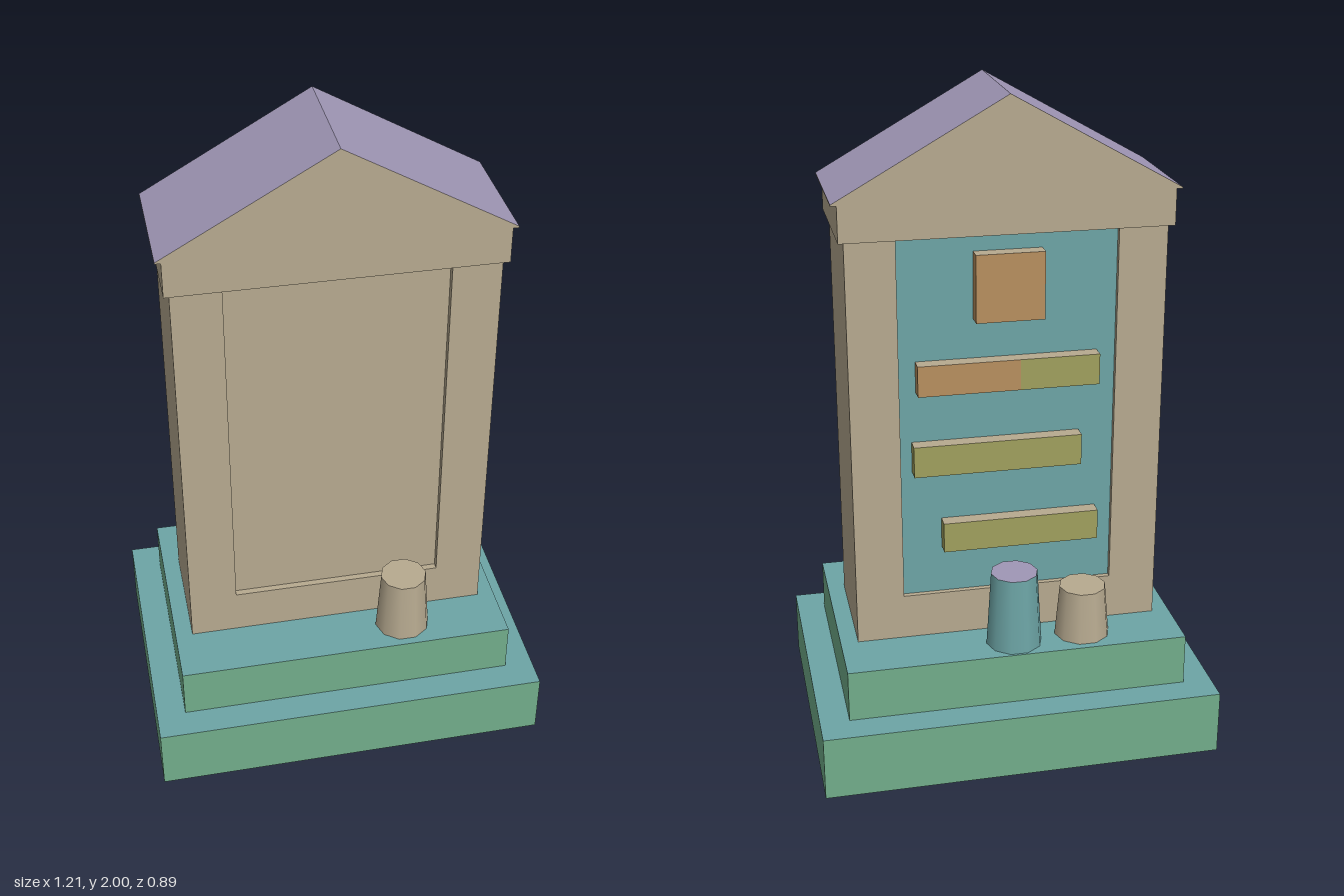
import * as THREE from 'three';

const mat = (name, color, extra = {}) => {
  const m = new THREE.MeshStandardMaterial({ color, ...extra });
  m.name = name;
  return m;
};

export function createModel() {
  const stone = mat('sandstone', 0xb7aa90);
  const green = mat('green', 0x72ae8b);
  const teal = mat('teal', 0x6da5a6);
  const lilac = mat('lilac', 0xa097b6);
  const orange = mat('orange', 0xb8905f);
  const olive = mat('olive', 0xa0a05e);

  const model = new THREE.Group();
  model.name = 'monument';

  const add = (name, geometry, material, x = 0, y = 0, z = 0) => {
    const mesh = new THREE.Mesh(geometry, material);
    mesh.name = name;
    mesh.position.set(x, y, z);
    model.add(mesh);
    return mesh;
  };

  // Box between two heights; the top face may have its own colour
  const block = (name, w, d, y0, y1, side, top = side, x = 0, z = 0) =>
    add(name, new THREE.BoxGeometry(w, y1 - y0, d),
      [side, side, top, side, side, side], x, (y0 + y1) / 2, z);

  // Stepped base
  block('lowerStep', 1.21, 0.89, 0, 0.2, green, teal);
  block('upperStep', 1.034, 0.71, 0.2, 0.36, green, teal);

  // Body: solid sill, then a shaft notched front and back for the panels
  const W = 0.464, D = 0.18, P = 0.32, R = 0.16;
  block('sill', 2 * W, 2 * D, 0.36, 0.5, stone);
  const plan = new THREE.Shape([
    [-W, -D], [-P, -D], [-P, -R], [P, -R], [P, -D], [W, -D],
    [W, D], [P, D], [P, R], [-P, R], [-P, D], [-W, D],
  ].map(([x, z]) => new THREE.Vector2(x, z)));
  const shaft = new THREE.ExtrudeGeometry(plan, { depth: 1.11, bevelEnabled: false });
  shaft.rotateX(-Math.PI / 2);
  add('shaft', shaft, stone, 0, 0.5, 0);
  add('backPanel', new THREE.BoxGeometry(2 * P, 1.11, 0.004), teal, 0, 1.055, -R - 0.002);

  // Lintel, eaves and gabled roof
  block('lintel', 0.96, 0.39, 1.61, 1.716, stone);
  block('eaves', 0.994, 0.39, 1.716, 1.72, stone);
  const gable = new THREE.Shape([
    new THREE.Vector2(-0.497, 0), new THREE.Vector2(0.497, 0), new THREE.Vector2(0, 0.28),
  ]);
  const roof = new THREE.ExtrudeGeometry(gable, { depth: 0.39, bevelEnabled: false });
  add('roof', roof, [stone, lilac], 0, 1.72, -0.195);

  // Raised plaques on the back panel: x from, x to, y from, y to, colour
  [
    ['emblemPlaque', -0.1, 0.1, 1.36, 1.56, orange],
    ['topBarLeft', -0.03, 0.27, 1.15, 1.243, orange],
    ['topBarRight', -0.265, -0.03, 1.15, 1.243, olive],
    ['middleBar', -0.215, 0.285, 0.9, 0.995, olive],
    ['bottomBar', -0.27, 0.2, 0.65, 0.743, olive],
  ].forEach(([name, x0, x1, y0, y1, m]) =>
    block(name, x1 - x0, 0.047, y0, y1, m, stone, (x0 + x1) / 2, -0.1845));

  // Tapered ten-sided pots standing on the upper step
  const pot = (name, x, z, height, side, top) => {
    const g = new THREE.CylinderGeometry(0.071, 0.085, height, 10);
    g.rotateY(Math.PI / 2);
    add(name, g, [side, top, side], x, 0.36 + height / 2, z);
  };
  pot('frontPot', 0.195, 0.25, 0.198, stone, stone);
  pot('backPot', -0.215, -0.252, 0.16, stone, stone);
  pot('tallBackPot', 0, -0.267, 0.235, teal, lilac);

  return model;
}
